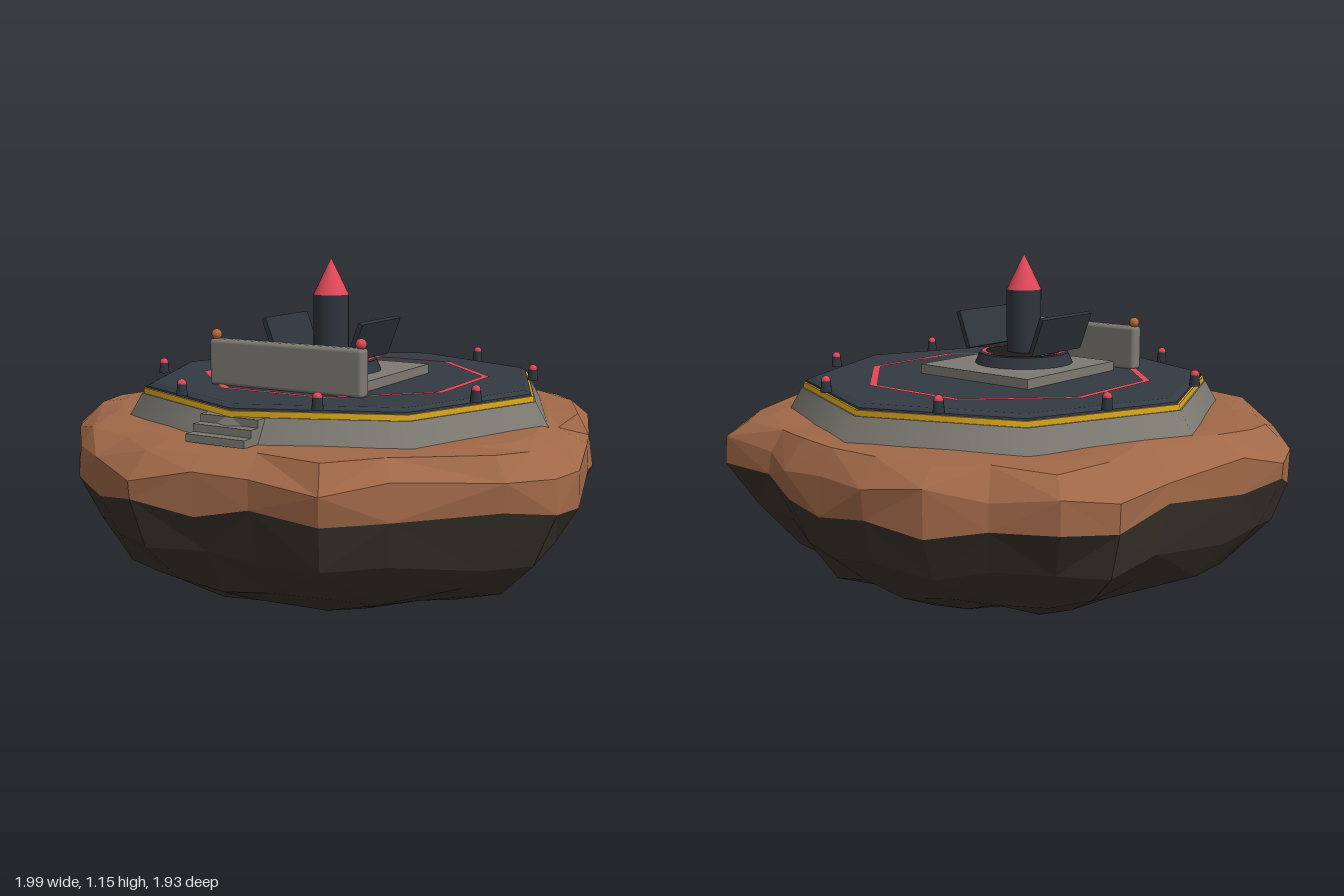
import * as THREE from 'three';
import { RoundedBoxGeometry } from 'three/addons/geometries/RoundedBoxGeometry.js';

const paint = (name, color) => {
  const m = new THREE.MeshStandardMaterial({ color });
  m.name = name;
  return m;
};

// Plan outline of the island as x, z pairs
const OUTLINE = [
  -0.2, -0.98, -0.41, -0.93, -0.56, -0.8, -0.76, -0.71, -0.86, -0.55, -0.86, -0.27, -0.95, 0.05,
  -1, 0.21, -0.96, 0.35, -0.8, 0.53, -0.6, 0.76, -0.41, 0.87, -0.2, 0.97, 0.01, 0.92, 0.19, 0.87,
  0.44, 0.87, 0.61, 0.73, 0.88, 0.49, 0.99, 0.35, 1, 0.16, 0.94, -0.13, 0.88, -0.37,
  0.76, -0.7, 0.65, -0.85, 0.39, -0.86, 0.2, -0.94, 0.01, -0.97,
];
const COUNT = OUTLINE.length / 2;

let seed = 11;
const jitter = (amount) => {
  seed = (seed * 16807) % 2147483647;
  return (seed / 2147483647 * 2 - 1) * amount;
};

// One rough horizontal ring of the rock; roundness pulls the outline to a circle
function ring(y, scale, dy, dr, roundness = 0) {
  return Array.from({ length: COUNT }, (_, i) => {
    const x = OUTLINE[i * 2], z = OUTLINE[i * 2 + 1];
    const circle = 0.95 / Math.hypot(x, z);
    const s = (scale + jitter(dr)) * THREE.MathUtils.lerp(1, circle, roundness);
    return [x * s, y + jitter(dy), z * s];
  });
}

// Faceted skin over rings listed from bottom to top
function skin(rings) {
  const pos = [];
  for (let k = 0; k < rings.length - 1; k++) {
    const lo = rings[k], hi = rings[k + 1];
    for (let i = 0; i < COUNT; i++) {
      const j = (i + 1) % COUNT;
      if ((i + k) % 2) pos.push(...lo[i], ...lo[j], ...hi[i], ...lo[j], ...hi[j], ...hi[i]);
      else pos.push(...lo[i], ...lo[j], ...hi[j], ...lo[i], ...hi[j], ...hi[i]);
    }
  }
  const g = new THREE.BufferGeometry();
  g.setAttribute('position', new THREE.Float32BufferAttribute(pos, 3));
  g.computeVertexNormals();
  return g;
}

const drum = (rTop, rBottom, y0, y1, sides = 32) =>
  new THREE.CylinderGeometry(rTop, rBottom, y1 - y0, sides).translate(0, (y0 + y1) / 2, 0);

const flatRing = (inner, outer, sides, turn, y) =>
  new THREE.RingGeometry(inner, outer, sides, 1, turn).rotateX(-Math.PI / 2).translate(0, y, 0);

export function createModel() {
  const earth = paint('brown rock', 0xa06848);
  const stone = paint('dark rock', 0x39332c);
  const concrete = paint('concrete', 0x7d7a72);
  const deckGrey = paint('deck slate', 0x343a43);
  const metal = paint('dark metal', 0x2e353c);
  const black = paint('scorched black', 0x1a1b1b);
  const red = paint('signal red', 0xe04858);
  const yellow = paint('hazard yellow', 0xd9a51c);
  const orange = paint('amber lamp', 0xb8683a);

  const model = new THREE.Group();
  const add = (parent, name, geometry, material, x = 0, y = 0, z = 0) => {
    const mesh = new THREE.Mesh(geometry, material);
    mesh.name = name;
    mesh.position.set(x, y, z);
    parent.add(mesh);
    return mesh;
  };

  // Floating rock: dark underside and brown crown share the wavy border ring
  const border = ring(0.41, 0.99, 0.035, 0.01);
  add(model, 'rockUnderside', skin([
    ring(0, 0.001, 0, 0), ring(0.004, 0.595, 0.004, 0.03, 0.4), ring(0.1, 0.8, 0.02, 0.02, 0.25),
    ring(0.24, 0.925, 0.03, 0.02, 0.1), border,
  ]), stone);
  add(model, 'rockCrown', skin([
    border, ring(0.51, 0.99, 0.025, 0.012), ring(0.585, 0.91, 0.01, 0.03),
    ring(0.597, 0.82, 0.003, 0.02), ring(0.597, 0.001, 0, 0),
  ]), earth);

  // Octagonal landing platform
  const base = new THREE.Group();
  base.name = 'launchBase';
  base.position.set(0.015, 0, -0.038);
  model.add(base);
  add(base, 'foundation', drum(0.755, 0.812, 0.575, 0.674, 8), concrete);
  add(base, 'hazardBand', drum(0.747, 0.75, 0.67, 0.693, 8), yellow);
  add(base, 'deckEdge', drum(0.738, 0.74, 0.69, 0.7, 8), deckGrey);
  add(base, 'deck', drum(0.715, 0.738, 0.7, 0.711, 8), deckGrey);
  const c = Math.cos(Math.PI / 8);
  add(base, 'deckMarking', flatRing(0.473 / c, 0.5 / c, 8, Math.PI / 8, 0.714), red);

  // Entry steps
  for (let i = 0; i < 3; i++) {
    const depth = 0.16 - i * 0.04;
    add(base, 'step', new THREE.BoxGeometry(0.225, 0.026, depth), concrete,
      0, 0.609 + i * 0.026, 0.67 + depth / 2);
  }

  // Perimeter lamps
  for (let i = 0; i < 8; i++) {
    const a = (i + 0.5) * Math.PI / 4;
    const x = Math.sin(a) * 0.698, z = Math.cos(a) * 0.698;
    add(base, 'lampPost', drum(0.016, 0.02, 0.705, 0.744, 10), metal, x, 0, z);
    add(base, 'lampBulb', new THREE.SphereGeometry(0.016, 12, 8), red, x, 0.746, z);
  }

  // Launch pad and turntable
  add(base, 'padSlab', new THREE.BoxGeometry(0.515, 0.036, 0.515), concrete, 0, 0.728, 0.065);
  const launcher = new THREE.Group();
  launcher.name = 'launcher';
  launcher.position.z = 0.1;
  base.add(launcher);
  add(launcher, 'turntable', drum(0.167, 0.185, 0.745, 0.785), metal);
  add(launcher, 'blastPlate', drum(0.145, 0.145, 0.784, 0.788), black);
  add(launcher, 'turntableRing', flatRing(0.143, 0.16, 32, 0, 0.79), red);

  // Rocket
  add(launcher, 'rocketBody', drum(0.065, 0.065, 0.786, 1.02, 24), metal);
  add(launcher, 'noseCone', new THREE.ConeGeometry(0.065, 0.132, 24), red, 0, 1.086, 0);

  // Tilted blast shields
  for (const side of [-1, 1]) {
    const shield = add(launcher, 'blastShield', new THREE.BoxGeometry(0.018, 0.145, 0.29), metal,
      side * 0.175, 0.867, -0.002);
    shield.rotation.z = -side * 0.36;
  }

  // Shelter wall with end lamps
  add(base, 'shelterWall', new RoundedBoxGeometry(0.618, 0.165, 0.055, 3, 0.014), concrete, 0, 0.791, 0.405);
  for (const side of [-1, 1]) {
    add(base, 'wallLamp', new THREE.SphereGeometry(0.019, 16, 12), side < 0 ? orange : red,
      side * 0.292, 0.888, 0.405);
  }

  return model;
}
